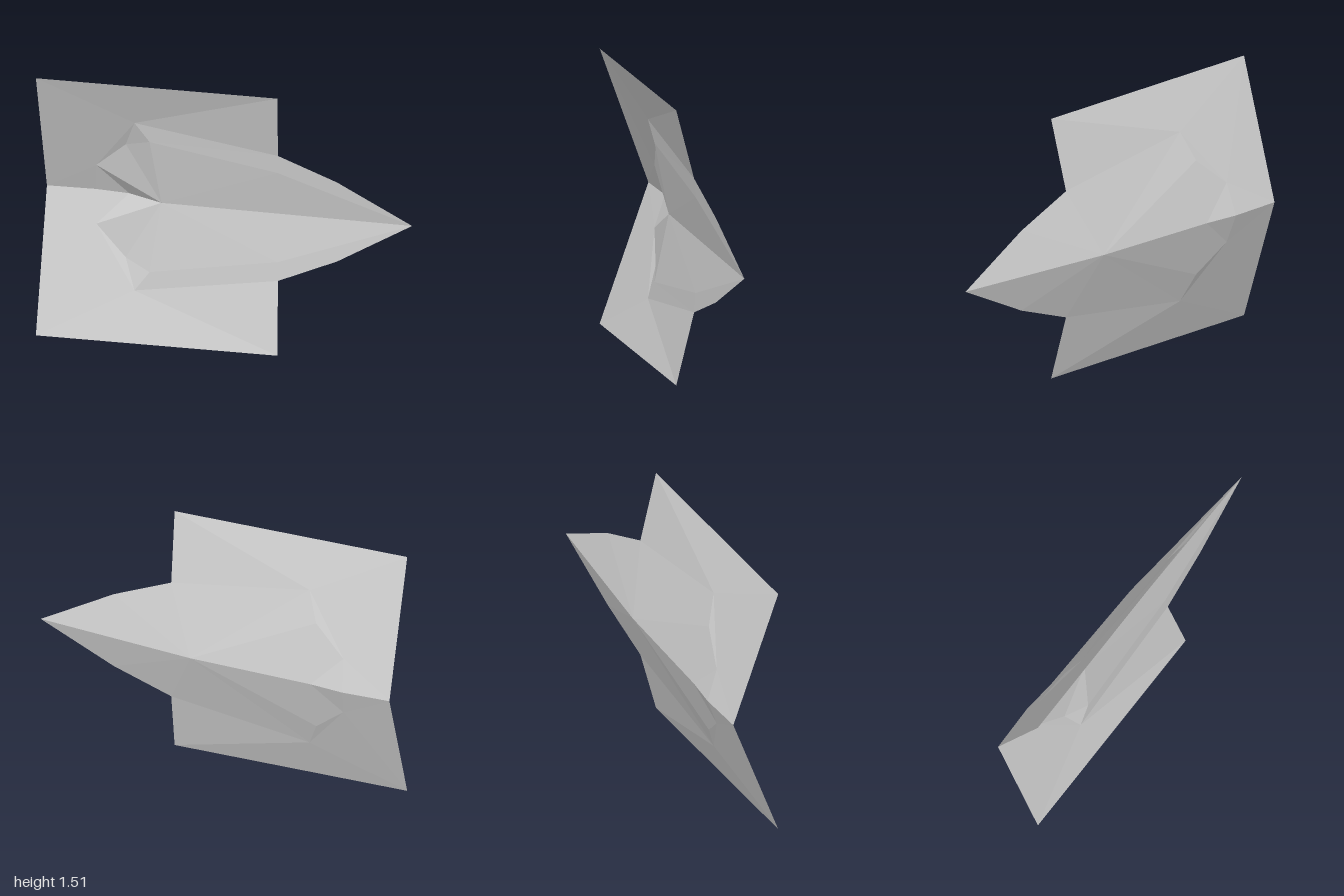
import * as THREE from 'three';

const MID = 0.757; // height of the mirror plane

// Corner points of the upper half
const P = {
  nose: [1, MID, -0.065],
  tail: [-1, MID, -0.13],
  tailDip: [-0.735, MID, -0.143],
  notch: [-0.552, MID, -0.13],
  keel: [0.13, MID, -0.128],
  ridge: [-0.36, MID, -0.052],
  tipRear: [-1, 1.514, 0.14],
  tipFront: [0.305, 1.514, 0.105],
  root: [0.285, 1.125, 0],
  cheek: [0.6, 0.99, -0.026],
  shoulder: [-0.49, 1.25, 0.025],
  brow: [-0.41, 1.14, 0.012],
  vent: [-0.55, 1.09, -0.036],
  hip: [-0.72, 0.93, -0.08],
  flank: [0.28, 1.02, -0.01],
};

// Triangles of each part, with the side (+z or -z) they face
const PARTS = {
  wing: [1, [
    'tipRear shoulder tipFront', 'tipFront shoulder root', 'tipRear hip shoulder',
    'tipRear tail hip', 'tail tailDip hip', 'tailDip notch hip', 'hip vent shoulder',
  ]],
  rearWall: [1, ['hip notch ridge', 'hip ridge vent', 'vent ridge brow', 'vent brow shoulder']],
  hullFront: [1, [
    'shoulder brow root', 'brow flank root', 'brow ridge flank',
    'ridge nose flank', 'flank nose cheek', 'flank cheek root',
  ]],
  hullBack: [-1, [
    'shoulder root keel', 'shoulder keel vent', 'vent keel notch', 'vent notch hip',
    'root cheek keel', 'cheek nose keel',
  ]],
};

// Builds flat panels, ordering corners so that each faces the given side
function panels(triangles, facing, mirrored) {
  const positions = [];
  const tri = new THREE.Triangle();
  const normal = new THREE.Vector3();
  for (const names of triangles) {
    const pts = names.split(' ').map((n) => {
      const [x, y, z] = P[n];
      return new THREE.Vector3(x, mirrored ? 2 * MID - y : y, z);
    });
    tri.set(...pts).getNormal(normal);
    if (normal.z * facing < 0) pts.reverse();
    for (const p of pts) positions.push(p.x, p.y, p.z);
  }
  const geo = new THREE.BufferGeometry();
  geo.setAttribute('position', new THREE.Float32BufferAttribute(positions, 3));
  geo.computeVertexNormals();
  return geo;
}

export function createModel() {
  const model = new THREE.Group();
  model.name = 'foldedWingCraft';
  const hullGrey = new THREE.MeshStandardMaterial({
    color: 0xcccccc, flatShading: true, side: THREE.DoubleSide,
  });
  hullGrey.name = 'hullGrey';

  // Upper half and its mirror image
  for (const mirrored of [false, true]) {
    const half = new THREE.Group();
    half.name = mirrored ? 'lowerHalf' : 'upperHalf';
    for (const [name, [facing, triangles]] of Object.entries(PARTS)) {
      const mesh = new THREE.Mesh(panels(triangles, facing, mirrored), hullGrey);
      mesh.name = name;
      half.add(mesh);
    }
    model.add(half);
  }
  return model;
}
